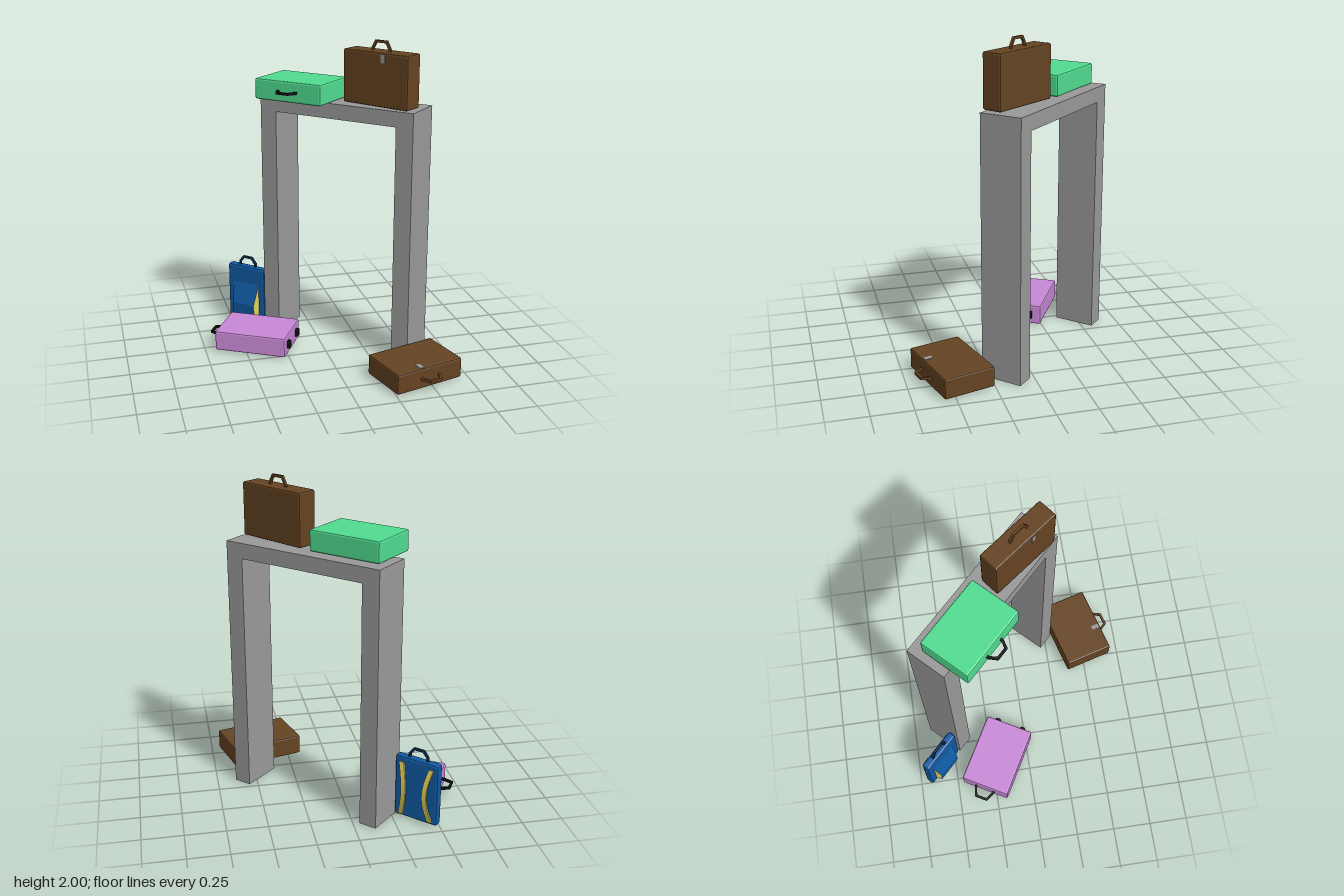
import * as THREE from 'three';
import { RoundedBoxGeometry } from 'three/addons/geometries/RoundedBoxGeometry.js';

const paint = (name, color) => Object.assign(new THREE.MeshStandardMaterial({ color }), { name });

export function createModel() {
  const grey = paint('stone grey', 0x999999);
  const green = paint('mint green', 0x50dc90);
  const violet = paint('violet', 0xc788d6);
  const brown = paint('leather brown', 0x654321);
  const blue = paint('blue', 0x0f5aa3);
  const navy = paint('navy', 0x0a3050);
  const yellow = paint('yellow', 0xe0d060);
  const black = paint('black', 0x111111);

  const model = new THREE.Group();
  model.name = 'archWithLuggage';

  const add = (parent, name, geometry, material, x = 0, y = 0, z = 0) => {
    const mesh = new THREE.Mesh(geometry, material);
    mesh.name = name;
    mesh.position.set(x, y, z);
    parent.add(mesh);
    return mesh;
  };
  const group = (name, x, y, z, degrees) => {
    const g = new THREE.Group();
    g.name = name;
    g.position.set(x, y, z);
    g.rotation.order = 'YXZ';
    g.rotation.y = THREE.MathUtils.degToRad(degrees);
    model.add(g);
    return g;
  };

  // Box with narrow chamfered edges and flat faces
  const chamferBox = (w, h, d, r) => {
    const g = new RoundedBoxGeometry(w, h, d, 1, r);
    g.computeVertexNormals();
    return g;
  };

  // Carrying handle: half outline (right side, bottom to top), mirrored and given a bar thickness
  const handleGeometry = (half, bar = 0.015) => {
    const mirror = [...half].reverse().map(([x, y]) => [-x, y]);
    const outer = [...half, ...mirror];
    const top = half[half.length - 1][1];
    const k = 1 - bar / half[0][0];
    const inner = outer.map(([x, y]) => [x * k, y * (1 - bar / top)]).reverse();
    const shape = new THREE.Shape([...outer, ...inner].map(([x, y]) => new THREE.Vector2(x, y)));
    return new THREE.ExtrudeGeometry(shape, { depth: bar, bevelEnabled: false })
      .translate(0, 0, -bar / 2);
  };

  // Square arch: two legs and a lintel cut from one slab
  const W = 0.5325, H = 1.605, LEG = 0.113, LINTEL = 0.095, D = 0.262;
  const outline = [[-W, 0], [-W + LEG, 0], [-W + LEG, H - LINTEL], [W - LEG, H - LINTEL],
    [W - LEG, 0], [W, 0], [W, H], [-W, H]];
  const arch = new THREE.ExtrudeGeometry(
    new THREE.Shape(outline.map(([x, y]) => new THREE.Vector2(x, y))),
    { depth: D, bevelEnabled: false }).translate(0, 0, -D / 2);
  add(group('arch', 0.164, 0, -0.176, -45), 'archFrame', arch, grey);

  // Suitcases: long side along x, thickness along y
  const L = 0.467, T = 0.13, B = 0.325;
  const suitcase = (name, x, y, z, degrees, material, handleMaterial, onShortEnd = false) => {
    const g = group(name, x, y, z, degrees);
    add(g, 'caseBody', chamferBox(L, T, B, 0.011), material);
    const reach = onShortEnd ? 0.075 : 0.062;
    const handle = add(g, 'caseHandle',
      handleGeometry([[0.07, -0.005], [0.07, 0.012], [0.042, reach]]), handleMaterial);
    // Turn the handle outwards from the chosen side
    handle.rotation.order = 'YXZ';
    handle.rotation.set(Math.PI / 2, onShortEnd ? -Math.PI / 2 : 0, 0);
    if (onShortEnd) handle.position.x = -L / 2;
    else handle.position.z = B / 2;
    return g;
  };

  suitcase('greenSuitcase', -0.085, 1.675, -0.283, -45, green, black);
  const flat = suitcase('lyingBrownSuitcase', 0.434, 0.075, 0.474, 15.4, brown, brown);
  const upright = suitcase('standingBrownSuitcase', 0.327, 1.775, 0.045, 127, brown, brown);
  upright.rotation.x = -Math.PI / 2;

  // Plain tag plates beside the brown handles
  for (const g of [flat, upright]) {
    add(g, 'tagPlate', new THREE.BoxGeometry(0.03, 0.006, 0.05), grey, -0.055, T / 2, 0.128);
  }

  // Violet trolley case with feet opposite its handle
  const trolley = suitcase('violetSuitcase', -0.407, 0.075, -0.21, -29.5, violet, black, true);
  for (const s of [-1, 1]) {
    add(trolley, 'caseFoot', chamferBox(0.03, 0.05, 0.035, 0.006), black, L / 2 + 0.007, 0, s * 0.09);
  }

  // Blue backpack behind the left end of the arch
  const pack = group('backpack', -0.39, 0, -0.59, -45);
  add(pack, 'packBody', chamferBox(0.29, 0.4, 0.055, 0.014), blue, 0, 0.21, 0);
  add(pack, 'packHandle',
    handleGeometry([[0.067, -0.005], [0.067, 0.025], [0.035, 0.065]], 0.014), navy, 0, 0.41, 0);

  // Wedge pocket with yellow ends, narrowing outwards
  const profile = [[-0.005, 0.03], [0.035, 0.04], [0.042, 0.15], [0, 0.29], [-0.005, 0.29]];
  const pocket = new THREE.ExtrudeGeometry(
    new THREE.Shape(profile.map(([x, y]) => new THREE.Vector2(x, y))),
    { depth: 0.2, bevelEnabled: false }).rotateY(-Math.PI / 2).translate(0.1, 0, 0);
  const pp = pocket.attributes.position;
  for (let i = 0; i < pp.count; i++) pp.setX(i, pp.getX(i) * (1 - 4 * pp.getZ(i)));
  pocket.computeVertexNormals();
  add(pack, 'packPocket', pocket, [yellow, blue], 0, 0, 0.0275);

  // Shoulder straps bowed outwards and towards each other
  for (const s of [-1, 1]) {
    const strap = new THREE.BoxGeometry(0.03, 0.35, 0.012, 1, 8, 1);
    const p = strap.attributes.position;
    for (let i = 0; i < p.count; i++) {
      const bow = Math.cos(Math.PI * p.getY(i) / 0.35);
      p.setX(i, p.getX(i) + s * (0.1 - 0.03 * bow));
      p.setZ(i, p.getZ(i) - 0.025 * bow);
    }
    strap.computeVertexNormals();
    add(pack, 'shoulderStrap', strap, yellow, 0, 0.2, -0.029);
  }

  return model;
}
